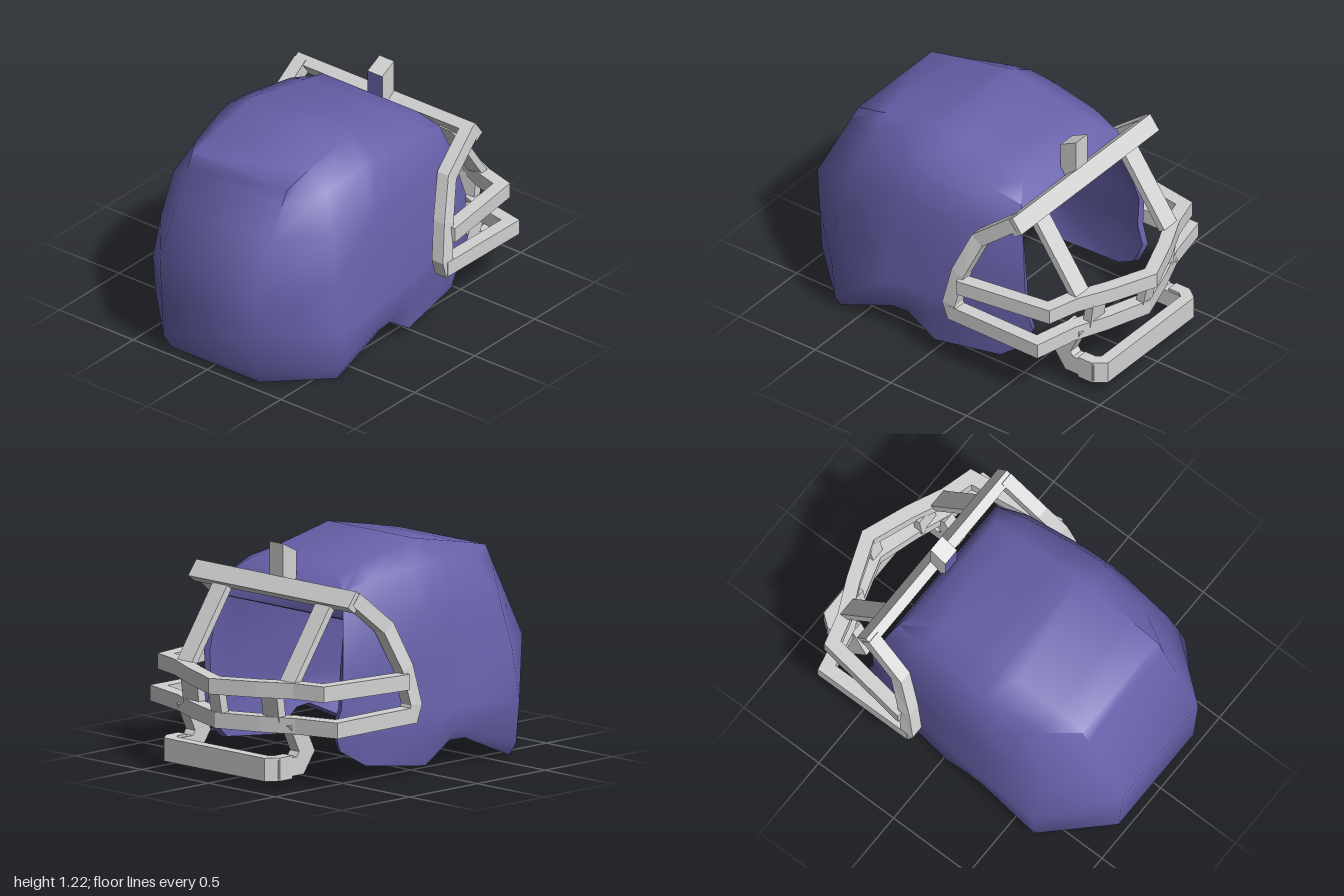
import * as THREE from 'three';
import { toCreasedNormals } from 'three/addons/utils/BufferGeometryUtils.js';

const purple = new THREE.MeshStandardMaterial({ color: 0x6862ac, side: THREE.DoubleSide });
purple.name = 'shellPurple';
const grey = new THREE.MeshStandardMaterial({ color: 0xd2d2d2, side: THREE.DoubleSide });
grey.name = 'cageGrey';

const geometryFrom = (positions, index) => {
  const g = new THREE.BufferGeometry();
  g.setAttribute('position', new THREE.Float32BufferAttribute(positions, 3));
  g.setIndex(index);
  return g;
};
const quad = (list, a, b, c, d) => list.push(a, b, c, a, c, d);

function add(parent, name, geometry, material = grey) {
  const mesh = new THREE.Mesh(geometry, material);
  mesh.name = name;
  parent.add(mesh);
  return mesh;
}

// Rectangular bar swept along a polyline with mitred corners; h is measured along up
function bar(points, w, h, up) {
  const P = points.map(p => new THREE.Vector3(...p));
  const U = new THREE.Vector3(...up);
  const sides = P.slice(1).map((p, i) => p.clone().sub(P[i]).cross(U).normalize());
  const pos = [], index = [];
  P.forEach((p, i) => {
    const a = sides[Math.max(0, i - 1)], b = sides[Math.min(sides.length - 1, i)];
    const s = a.clone().add(b).normalize();
    s.multiplyScalar(w / 2 / s.dot(a));
    for (const [i1, i2] of [[1, 1], [-1, 1], [-1, -1], [1, -1]]) {
      const v = p.clone().addScaledVector(s, i1).addScaledVector(U, i2 * h / 2);
      pos.push(v.x, v.y, v.z);
    }
  });
  quad(index, 0, 1, 2, 3);
  for (let i = 0; i < P.length - 1; i++)
    for (let k = 0; k < 4; k++) {
      const n = (k + 1) % 4, o = i * 4;
      quad(index, o + k, o + 4 + k, o + 4 + n, o + n);
    }
  const e = (P.length - 1) * 4;
  quad(index, e + 3, e + 2, e + 1, e);
  const g = geometryFrom(pos, index).toNonIndexed();
  g.computeVertexNormals();
  return g;
}

const mirrorX = ([x, y, z]) => [-x, y, z];
// Full symmetric path from a half that ends on (or near) the middle
const symmetric = half => [...half, ...half.filter(p => p[0] !== 0).reverse().map(mirrorX)];

// Shell: horizontal U-shaped rows, each given from the face edge to the back corner
function shellGeometry() {
  const rows = [
    [[.49, .17, -.51], [.54, .08, -.37], [.58, .03, .03], [.59, .145, .2], [.6, .145, .3], [.59, 0, .64], [.3, 0, .93]],
    [[.5, .29, -.56], [.555, .22, -.37], [.605, .2, .03], [.62, .2, .2], [.62, .19, .3], [.63, .07, .65], [.32, .08, .97]],
    [[.51, .4, -.52], [.56, .36, -.37], [.61, .34, .03], [.625, .33, .2], [.63, .32, .3], [.645, .3, .66], [.32, .32, .985]],
    [[.52, .57, -.52], [.55, .57, -.37], [.58, .57, .03], [.585, .57, .2], [.585, .57, .3], [.59, .57, .66], [.32, .56, 1]],
    [[.46, .87, -.46], [.53, .84, -.3], [.575, .83, .03], [.585, .83, .2], [.58, .83, .3], [.54, .83, .62], [.32, .83, .86]],
    [[.42, 1, -.42], [.45, 1.05, -.25], [.48, 1.08, .03], [.49, 1.09, .2], [.48, 1.08, .3], [.44, 1.03, .55], [.32, 1, .77]],
    [[.32, 1.075, -.36], [.32, 1.11, -.2], [.32, 1.155, .03], [.32, 1.19, .2], [.32, 1.17, .3], [.32, 1.12, .55], [.32, 1.08, .73]],
  ];
  const N = 14, at = (r, u) => r * N + u, index = [];
  const pos = rows.flatMap(row => symmetric(row).flat());
  for (let r = 0; r < 6; r++)
    for (let u = 0; u < N - 1; u++) quad(index, at(r, u + 1), at(r, u), at(r + 1, u), at(r + 1, u + 1));
  // crown
  for (let u = 0; u < 6; u++) quad(index, at(6, 12 - u), at(6, u + 1), at(6, u), at(6, 13 - u));
  // brow above the face opening
  for (const r of [4, 5]) quad(index, at(r, 0), at(r, 13), at(r + 1, 13), at(r + 1, 0));

  // wall thickness: inner copy, then a rim along every open edge
  const outer = geometryFrom(pos, index);
  outer.computeVertexNormals();
  const n = outer.attributes.normal.array, count = pos.length / 3;
  const all = [...pos, ...pos.map((v, i) => v - n[i] * .035)], faces = [...index];
  const edges = new Set();
  for (let i = 0; i < index.length; i += 3) {
    const t = [index[i], index[i + 1], index[i + 2]];
    faces.push(t[2] + count, t[1] + count, t[0] + count);
    t.forEach((a, k) => edges.add(a + '_' + t[(k + 1) % 3]));
  }
  for (const key of edges) {
    const [a, b] = key.split('_').map(Number);
    if (!edges.has(b + '_' + a)) quad(faces, b, a, a + count, b + count);
  }
  return toCreasedNormals(geometryFrom(all, faces), 1.05);
}

export function createModel() {
  const model = new THREE.Group();
  model.name = 'helmet';
  add(model, 'shell', shellGeometry(), purple);

  // Neck lining inside the back wall
  const lining = geometryFrom([.31, .03, .885, -.31, .03, .885, -.2, .5, .94, .2, .5, .94], [0, 1, 2, 0, 2, 3]);
  lining.computeVertexNormals();
  add(model, 'neckLining', lining);

  const cage = new THREE.Group();
  cage.name = 'faceCage';
  model.add(cage);
  const X = [1, 0, 0], Y = [0, 1, 0];

  // Crossbars
  const tilt = new THREE.Vector3(0, .8, .6).toArray();
  add(cage, 'browBar', bar([[.6, .985, -.505], [-.6, .985, -.505]], .06, .1, tilt));
  add(cage, 'upperBar', bar(symmetric([[.665, .53, -.2], [.59, .53, -.73], [.43, .53, -.775],
    [.24, .525, -.865], [0, .52, -.957]]), .075, .085, Y));
  add(cage, 'lowerBar', bar(symmetric([[.66, .345, -.15], [.665, .345, -.71], [.43, .34, -.76],
    [.24, .335, -.835], [0, .33, -.91]]), .075, .085, Y));

  // Parts that repeat on both sides
  for (const s of [1, -1]) {
    const path = pts => pts.map(([x, y, z]) => [s * x, y, z]);
    add(cage, 'sideArm', bar(path([[.565, 1.0, -.5], [.585, .82, -.28], [.635, .6, -.19],
      [.66, .4, -.15], [.655, .31, -.18]]), .08, .075, X));
    add(cage, 'browStrut', bar(path([[.385, .95, -.51], [.385, .56, -.78]]), .04, .11, X));
    add(cage, 'barPost', bar(path([[.3, .5, -.825], [.3, .35, -.805]]), .05, .12, X));
    add(cage, 'chinHook', bar(path([[.39, .36, -.77], [.39, .19, -.69], [.39, .12, -.74],
      [.39, .12, -.9]]), .1, .07, X));
  }
  add(cage, 'centrePost', bar([[0, .5, -.94], [0, .35, -.91]], .05, .08, X));
  add(cage, 'chinBar', bar(symmetric([[.395, .12, -.8], [.395, .12, -.88], [.36, .12, -.925]]), .065, .125, Y));

  // Slanted brow clip with a shell-coloured inner face
  const clip = new THREE.BoxGeometry(.1, .2, .1);
  const p = clip.attributes.position;
  for (let i = 0; i < p.count; i++) p.setY(i, p.getY(i) - p.getZ(i) * .5);
  clip.computeVertexNormals();
  add(cage, 'browClip', clip, [grey, grey, grey, grey, purple, grey]).position.set(0, 1.095, -.45);

  return model;
}
